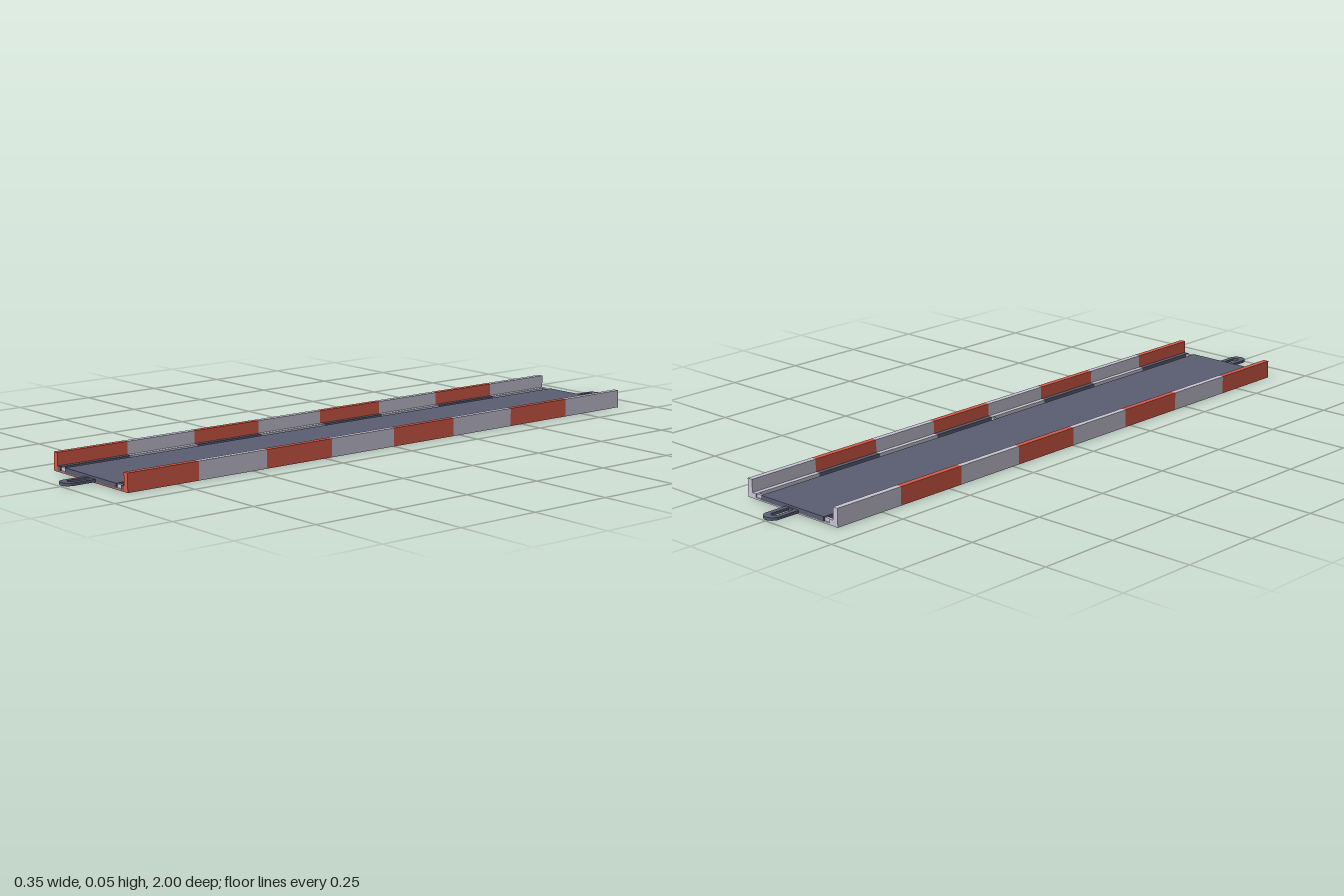
import * as THREE from 'three';

const mat = (name, color) => Object.assign(new THREE.MeshStandardMaterial({ color }), { name });

export function createModel() {
  const red = mat('red', 0xd65a48);
  const pale = mat('pale grey', 0xc6c4d4);
  const dark = mat('dark slate', 0x5a5d72);
  const group = new THREE.Group();
  group.name = 'barrierRamp';

  // box given by its min and max corners
  const box = (name, material, x0, x1, y0, y1, z0, z1) => {
    const m = new THREE.Mesh(new THREE.BoxGeometry(x1 - x0, y1 - y0, z1 - z0), material);
    m.position.set((x0 + x1) / 2, (y0 + y1) / 2, (z0 + z1) / 2);
    m.name = name;
    group.add(m);
  };

  const end = 0.908, count = 8, step = 2 * end / count;

  // alternating channel sections: floor plate, two side walls, inner ledges
  for (let i = 0; i < count; i++) {
    const z1 = end - i * step, z0 = z1 - step;
    const paint = i % 2 ? pale : red;
    box('floorPlate', paint, -0.157, 0.157, 0, 0.003, z0, z1);
    for (const s of [-1, 1]) {
      const span = (a, b) => (s > 0 ? [a, b] : [-b, -a]);
      box('sideWall', paint, ...span(0.157, 0.174), 0, 0.053, z0, z1);
      box('innerLedge', i % 2 ? pale : dark, ...span(0.143, 0.157), 0.003, 0.016, z0, z1);
    }
  }

  // raised road deck
  box('deck', dark, -0.121, 0.121, 0.003, 0.017, -end, end);

  // pale gutters beside the deck, closed by cross plates
  for (const s of [-1, 1]) {
    const x0 = s > 0 ? 0.121 : -0.143, x1 = x0 + 0.022;
    box('gutter', pale, x0, x1, 0.003, 0.005, -end, end);
    for (const z of [-0.9, 0, 0.9]) box('gutterPlate', pale, x0, x1, 0.005, 0.015, z - 0.004, z + 0.004);
  }

  // slotted coupling loops at both ends
  const loop = new THREE.Shape();
  const r = 0.025, tip = 1 - r;
  loop.moveTo(-r, end - 0.002);
  loop.lineTo(r, end - 0.002);
  loop.lineTo(r, tip);
  loop.absarc(0, tip, r, 0, Math.PI, false);
  loop.closePath();
  const slot = new THREE.Path();
  slot.moveTo(-0.01, end + 0.004);
  slot.lineTo(-0.01, 0.968);
  slot.absarc(0, 0.968, 0.01, Math.PI, 0, true);
  slot.lineTo(0.01, end + 0.004);
  slot.closePath();
  loop.holes.push(slot);
  const loopGeo = new THREE.ExtrudeGeometry(loop, { depth: 0.008, bevelEnabled: false, curveSegments: 12 });
  loopGeo.rotateX(Math.PI / 2).translate(0, 0.011, 0);
  for (const turn of [0, Math.PI]) {
    const m = new THREE.Mesh(loopGeo, dark);
    m.rotation.y = turn;
    m.name = turn ? 'rearCoupling' : 'frontCoupling';
    group.add(m);
  }
  return group;
}
